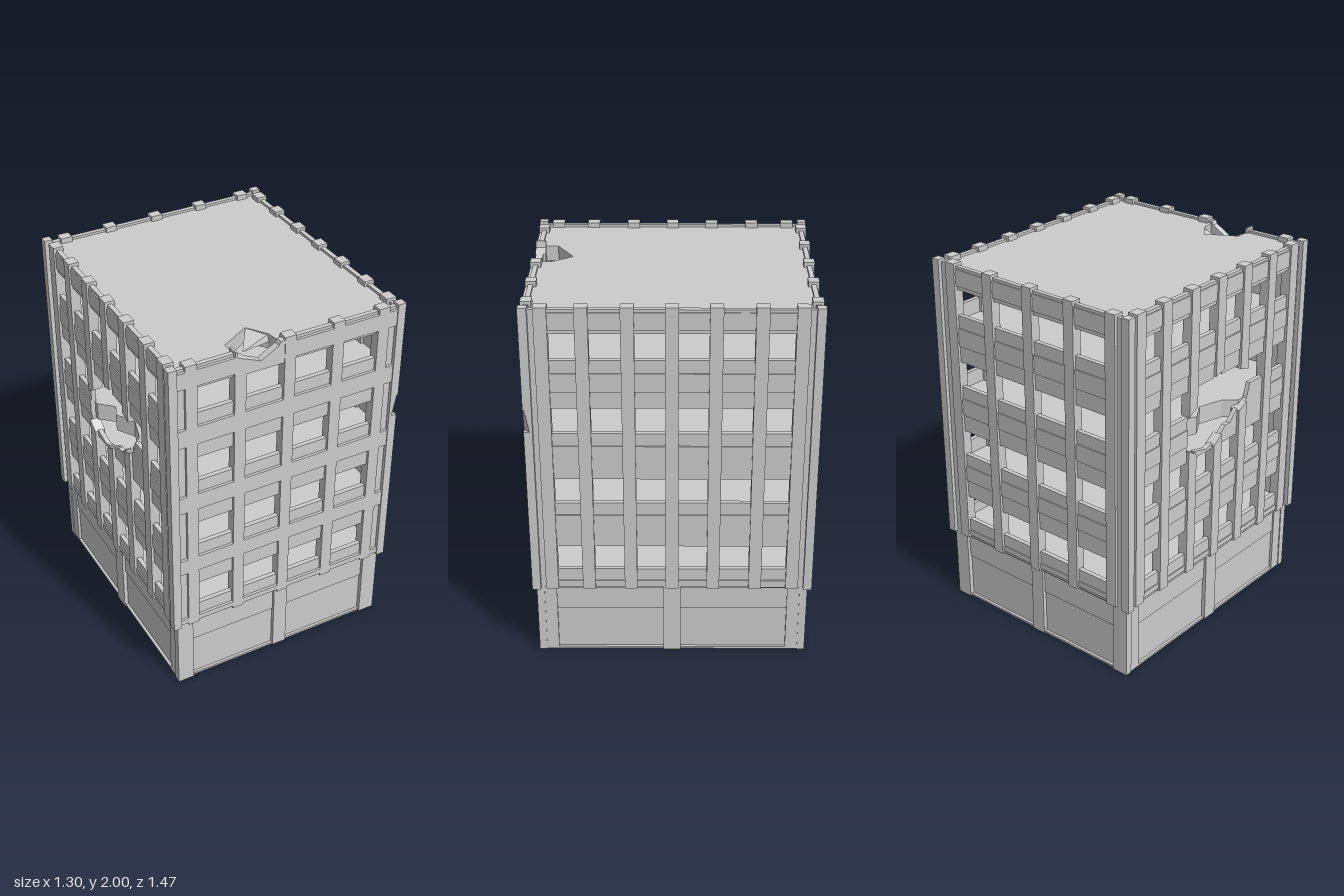
import * as THREE from 'three';
import { ConvexGeometry } from 'three/addons/geometries/ConvexGeometry.js';

const mat = new THREE.MeshStandardMaterial({ color: 0xcccccc, flatShading: true });

function add(parent, name, geo) {
  const m = new THREE.Mesh(geo, mat);
  m.name = name;
  parent.add(m);
  return m;
}

// Box given by its limits
function box(parent, name, x0, x1, y0, y1, z0, z1) {
  const g = new THREE.BoxGeometry(x1 - x0, y1 - y0, z1 - z0);
  g.translate((x0 + x1) / 2, (y0 + y1) / 2, (z0 + z1) / 2);
  return add(parent, name, g);
}

function extrude(pts, depth) {
  const s = new THREE.Shape(pts.map(p => new THREE.Vector2(p[0], p[1])));
  return new THREE.ExtrudeGeometry(s, { depth, bevelEnabled: false });
}

// Upright broken piece: outline in (u, y), thickness z0..z1
function piece(parent, name, pts, z0, z1) {
  return add(parent, name, extrude(pts, z1 - z0).translate(0, 0, z0));
}

// Horizontal slab: outline in (x, z), height y0..y1
function slab(parent, name, pts, y0, y1) {
  const g = extrude(pts.map(([x, z]) => [x, -z]), y1 - y0);
  g.rotateX(-Math.PI / 2);
  return add(parent, name, g.translate(0, y0, 0));
}

const BOTTOM = 0.405, TOP = 2, PARAPET = 1.985;
// Wall strips between the window rows
const STRIPS = [[BOTTOM, 0.52], [0.66, 0.92], [1.06, 1.32], [1.46, 1.72], [1.86, PARAPET]];
// Projecting bands on those strips
const BANDS = [[0.42, 0.45], [0.76, 0.85], [1.155, 1.25], [1.55, 1.65], [1.88, 1.97]];

// One upper wall facing local +z. "broken" maps part keys to their own builders.
function facade(name, angle, half, face, centres, w, bandDepth, broken = {}) {
  const g = new THREE.Group();
  g.name = name;
  g.rotation.y = angle;
  const z0 = face - 0.025;
  centres.forEach((c, i) => {
    const key = 'pier' + i;
    if (broken[key]) broken[key](g, c - w / 2, c + w / 2, face - 0.04, face + 0.015);
    else box(g, 'pilaster', c - w / 2, c + w / 2, BOTTOM, TOP, face - 0.04, face + 0.015);
    if (i === centres.length - 1) return;
    const a = c + w / 2, b = centres[i + 1] - w / 2;
    STRIPS.forEach(([y0, y1], row) => {
      const k = `bay${i}row${row}`;
      if (broken[k]) { broken[k](g, a, b, z0, face); return; }
      box(g, 'spandrel', a, b, y0, y1, z0, face);
      box(g, 'spandrelBand', a, b, BANDS[row][0], BANDS[row][1], face, face + bandDepth);
    });
  });
  // solid strips between the end pilasters and the corners
  const e = centres[centres.length - 1] + w / 2;
  for (const s of [-1, 1]) {
    const [a, b] = s < 0 ? [-half, -e] : [e, half];
    box(g, 'cornerWall', a, b, BOTTOM, PARAPET, z0, face);
    if (bandDepth > 0.01) for (const [y0, y1] of BANDS) box(g, 'cornerBand', a, b, y0, y1, face, face + bandDepth);
  }
  return g;
}

export function createModel() {
  const model = new THREE.Group();
  model.name = 'damagedBuilding';
  const HX = 0.625, HZ = 0.715;

  // Ground storey: core, base and head strips, corner and middle piers
  const base = new THREE.Group();
  base.name = 'groundStorey';
  model.add(base);
  box(base, 'lowerPanels', -0.6, 0.6, 0.005, 0.26, -0.69, 0.69);
  box(base, 'upperPanels', -0.607, 0.607, 0.26, 0.4, -0.697, 0.697);
  box(base, 'plinth', -0.615, 0.615, 0, 0.012, -0.705, 0.705);
  box(base, 'headStrip', -0.615, 0.615, 0.393, 0.41, -0.705, 0.705);
  for (const sx of [-1, 1]) {
    for (const sz of [-1, 1]) {
      const x = sx * 0.575, z = sz * 0.66;
      box(base, 'frontCornerPier', x - 0.045, x + 0.045, 0, 0.405, sz * 0.695 - 0.02, sz * 0.695 + 0.02);
      box(base, 'sideCornerPier', sx * 0.595 - 0.02, sx * 0.595 + 0.02, 0, 0.405, z - 0.05, z + 0.05);
    }
    box(base, 'sideMiddlePier', sx * 0.6 - 0.022, sx * 0.6 + 0.022, 0, 0.405, -0.045, 0.045);
    box(base, 'frontMiddlePier', -0.037, 0.043, 0, 0.405, sx * 0.69 - 0.022, sx * 0.69 + 0.022);
  }

  // Upper walls
  const cx = [-0.53, -0.27, 0, 0.27, 0.53];
  const cz = [-0.63, -0.435, -0.215, 0, 0.215, 0.435, 0.63];

  // front, with the broken parapet
  const frontBroken = {
    pier1: (g, a, b, z0, z1) => piece(g, 'brokenPilaster',
      [[a, BOTTOM], [b, BOTTOM], [b, 1.945], [-0.285, 1.965], [-0.29, TOP], [a, TOP]], z0, z1),
    bay1row4: (g, a, b, z0, z1) => {
      const pts = [[a, 1.86], [b, 1.86], [b, PARAPET], [-0.055, PARAPET], [-0.065, 1.965], [-0.16, 1.91], [a, 1.945]];
      piece(g, 'brokenParapet', pts, z0, z1 + 0.012);
    },
  };
  model.add(facade('frontWall', 0, HX, HZ, cx, 0.062, 0.015, frontBroken));
  model.add(facade('backWall', Math.PI, HX, HZ, cx, 0.062, 0.006));
  model.add(facade('leftWall', Math.PI / 2, HZ, HX, cz, 0.066, 0.006));

  // right wall, with a ragged hole across three pilasters
  const stubs = (lowA, lowB, highA, highB) => (g, a, b, z0, z1) => {
    piece(g, 'lowerPilasterStub', [[a, BOTTOM], [b, BOTTOM], [b, lowB], [a, lowA]], z0, z1);
    piece(g, 'upperPilasterStub', [[a, highA], [b, highB], [b, TOP], [a, TOP]], z0, z1);
  };
  const rightBroken = {
    pier2: stubs(1.13, 1.09, 1.32, 1.36),
    pier3: stubs(1.08, 1.12, 1.47, 1.49),
    pier4: stubs(1.2, 1.23, 1.44, 1.42),
    bay2row2: (g, a, b, z0, z1) => piece(g, 'brokenSpandrel',
      [[a, 1.06], [b, 1.06], [b, 1.09], [-0.08, 1.075], [a, 1.1]], z0, z1),
    bay3row2: (g, a, b, z0, z1) => piece(g, 'brokenSpandrel',
      [[a, 1.06], [b, 1.06], [b, 1.21], [0.12, 1.15], [0.08, 1.15], [a, 1.11]], z0, z1),
    bay4row2: (g, a, b, z0, z1) => piece(g, 'brokenSpandrel',
      [[a, 1.06], [b, 1.06], [b, 1.32], [0.29, 1.32], [0.265, 1.24], [a, 1.23]], z0, z1),
  };
  model.add(facade('rightWall', -Math.PI / 2, HZ, HX, cz, 0.066, 0.006, rightBroken));

  // Corner posts; the front left one has a chip
  for (const sx of [-1, 1]) for (const sz of [-1, 1]) {
    const x = sx * 0.6275, z = sz * 0.7125, r = 0.0225;
    const chipped = sx > 0 && sz > 0;
    const parts = chipped ? [[BOTTOM, 1.34], [1.46, TOP]] : [[BOTTOM, TOP]];
    for (const [y0, y1] of parts) box(model, 'cornerPost', x - r, x + r, y0, y1, z - r, z + r);
    if (chipped) {
      const ring = (y, cut) => [[-r, -r], [r, -r], [r, r - cut], [r - cut, r], [-r, r]]
        .map(([a, b]) => new THREE.Vector3(x + a, y, z + b));
      add(model, 'chippedPost', new ConvexGeometry([...ring(1.34, 0.03), ...ring(1.46, 0.008)]));
    }
  }

  // Floors; the third is bitten away behind the hole
  const fx = 0.605, fz = 0.695;
  box(model, 'floor', -0.62, 0.62, 0.405, 0.46, -0.71, 0.71);
  box(model, 'floor', -fx, fx, 0.74, 0.84, -fz, fz);
  box(model, 'floor', -fx, fx, 1.54, 1.64, -fz, fz);
  slab(model, 'brokenFloor', [[-fx, -fz], [fx, -fz], [fx, fz], [-fx, fz],
    [-fx, 0.22], [-0.54, 0.16], [-0.5, 0.02], [-0.56, -0.08], [-0.53, -0.15], [-fx, -0.22]], 1.14, 1.24);

  // Roof with a ragged hole at the front edge
  slab(model, 'roof', [[-fx, -fz], [fx, -fz], [fx, fz], [-0.05, fz],
    [-0.06, 0.62], [-0.13, 0.52], [-0.29, 0.61], [-0.29, fz], [-fx, fz]], 1.89, 1.972);
  const v = (x, y, z) => new THREE.Vector3(x, y, z);
  add(model, 'roofFragment', new ConvexGeometry([v(-0.13, 1.97, 0.52), v(-0.2, 1.91, 0.62),
    v(-0.06, 1.93, 0.625), v(-0.06, 1.965, 0.615), v(-0.13, 1.89, 0.53)]));

  return model;
}
